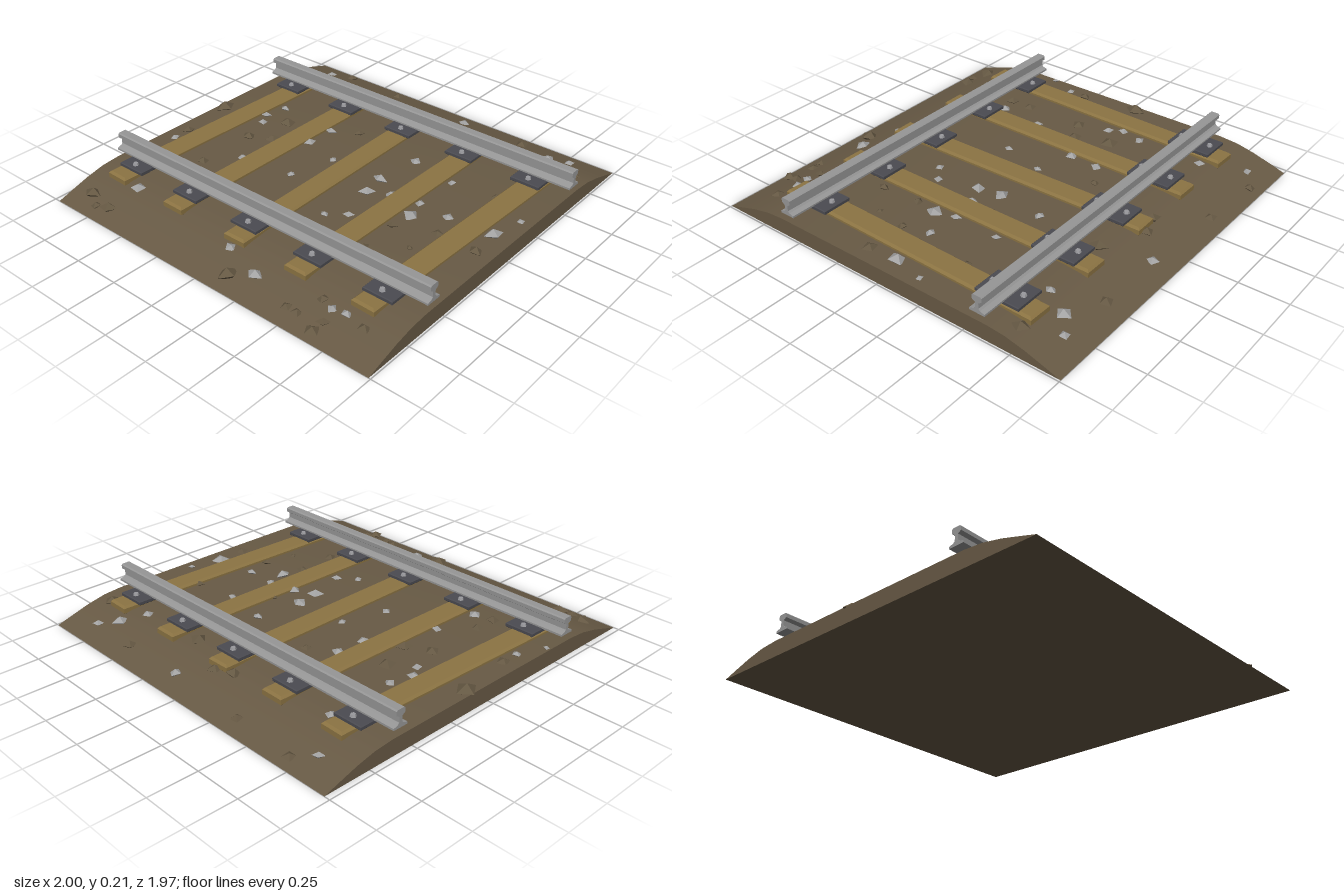
import * as THREE from 'three';
import { toCreasedNormals } from 'three/addons/utils/BufferGeometryUtils.js';

const mat = (name, color, flatShading = false) => {
  const m = new THREE.MeshStandardMaterial({ color, flatShading });
  m.name = name;
  return m;
};

const Z0 = -0.97, Z1 = 0.99;

// Half outline of the gravel bed, from the centre to the foot
const BED = [[0, 0.086], [0.62, 0.085], [0.72, 0.077], [0.82, 0.055], [0.91, 0.028], [1, 0]];

function bedHeight(x) {
  const a = Math.abs(x);
  for (let i = 1; i < BED.length; i++) {
    const [x0, y0] = BED[i - 1], [x1, y1] = BED[i];
    if (a <= x1) return y0 + (y1 - y0) * (a - x0) / (x1 - x0);
  }
  return 0;
}

// Mirrors a half outline (top to bottom) and extrudes it along the track
function trackExtrude(half) {
  const right = half.map(([x, y]) => new THREE.Vector2(x, y));
  const left = half.map(([x, y]) => new THREE.Vector2(-x, y)).reverse();
  const shape = new THREE.Shape([...right, ...left.filter(p => p.x !== 0)]);
  const g = new THREE.ExtrudeGeometry(shape, { depth: Z1 - Z0, bevelEnabled: false });
  g.translate(0, 0, Z0);
  return g;
}

// Chamfered block, centred on x and z, standing from y0 to y1
function block(w, d, y0, y1, b) {
  const x = w / 2 - b, z = d / 2 - b;
  const s = new THREE.Shape([[-x, -z], [x, -z], [x, z], [-x, z]].map(p => new THREE.Vector2(...p)));
  const g = new THREE.ExtrudeGeometry(s, { depth: y1 - y0 - 2 * b, bevelSize: b, bevelThickness: b, bevelSegments: 1 });
  g.rotateX(-Math.PI / 2);
  g.translate(0, y0 + b, 0);
  return g;
}

function seeded(seed) {
  return () => {
    seed = (seed * 16807) % 2147483647;
    return seed / 2147483647;
  };
}

// Stones: x, z, radius
const BROWN = [
  [-0.91, -0.70, 0.05], [-0.88, -0.85, 0.05], [-0.93, -0.77, 0.03], [0.11, -0.93, 0.06], [-0.2, -0.89, 0.035],
  [0.07, -0.77, 0.02], [0.94, -0.70, 0.035], [0.92, -0.34, 0.035], [-0.49, -0.6, 0.04], [-0.37, -0.6, 0.035],
  [-0.04, -0.6, 0.04], [0.2, -0.54, 0.05], [0.02, -0.48, 0.045], [0.36, -0.17, 0.03], [0.74, -0.1, 0.045],
  [0.77, 0, 0.04], [-0.91, 0.12, 0.055], [0.67, 0.25, 0.05], [0.12, 0.34, 0.025], [-0.91, 0.47, 0.03],
  [-0.91, 0.53, 0.03], [-0.8, 0.58, 0.03], [-0.95, 0.65, 0.04], [-0.89, 0.66, 0.035], [-0.21, 0.49, 0.03],
  [-0.43, 0.5, 0.035], [0.89, 0.51, 0.04], [-0.83, 0.83, 0.035], [-0.13, 0.9, 0.04], [0.73, 0.9, 0.045],
  [-0.13, 0.69, 0.03], [-0.3, 0.66, 0.02], [0.3, 0.73, 0.03],
];
const GREY = [
  [-0.3, -0.89, 0.025], [-0.45, -0.95, 0.02], [0.87, -0.8, 0.03], [-0.74, -0.67, 0.04], [0.12, -0.65, 0.03],
  [0.19, -0.69, 0.03], [0.31, -0.66, 0.03], [0.67, -0.66, 0.03], [-0.47, -0.5, 0.035], [-0.22, -0.47, 0.03],
  [0.12, -0.31, 0.035], [0.28, -0.3, 0.035], [-0.18, -0.17, 0.025], [0.06, -0.1, 0.025], [-0.79, 0.02, 0.03],
  [0.89, 0.14, 0.035], [-0.34, 0.19, 0.025], [-0.06, 0.22, 0.045], [0.07, 0.2, 0.045], [0.32, 0.23, 0.03],
  [-0.85, 0.23, 0.045], [-0.27, 0.28, 0.03], [-0.01, 0.33, 0.035], [-0.09, 0.51, 0.045], [0.02, 0.48, 0.03],
  [0.27, 0.49, 0.025], [0.81, 0.71, 0.045], [0.69, 0.64, 0.03], [-0.82, 0.65, 0.03], [-0.81, 0.72, 0.03],
  [0.01, 0.65, 0.03], [0.88, 0.8, 0.03], [0.03, 0.89, 0.05], [0.2, 0.93, 0.02], [-0.45, 0.76, 0.02],
];

export function createModel() {
  const track = new THREE.Group();
  track.name = 'railwayTrack';
  const earth = mat('earth', 0x685a45);
  const wood = mat('wood', 0x8c7443, true);
  const steel = mat('steel', 0x979797);
  const iron = mat('darkIron', 0x4b4b51);
  const bolt = mat('boltMetal', 0x9a9a9e, true);
  const brownStone = mat('brownStone', 0x655843, true);
  const greyStone = mat('greyStone', 0xa2a2a2, true);

  const add = (parent, name, geometry, material, x = 0, y = 0, z = 0) => {
    const m = new THREE.Mesh(geometry, material);
    m.name = name;
    m.position.set(x, y, z);
    parent.add(m);
    return m;
  };

  // Raised bed with sloping shoulders
  add(track, 'gravelBed', toCreasedNormals(trackExtrude(BED), 0.4), earth);

  // Rails with wide foot, thin web and rounded head
  const rail = toCreasedNormals(trackExtrude([
    [0.02, 0.213], [0.026, 0.207], [0.026, 0.188], [0.009, 0.177],
    [0.009, 0.149], [0.017, 0.14], [0.041, 0.133], [0.041, 0.123],
  ]), 0.3);
  for (const side of [-1, 1]) add(track, side > 0 ? 'leftRail' : 'rightRail', rail, steel, side * 0.574);

  // Sleepers, each slightly askew, with plates and bolts under the rails
  const beam = block(1.525, 0.125, 0.06, 0.107, 0.011);
  const plate = block(0.235, 0.16, 0.103, 0.125, 0.004);
  const boltHead = new THREE.CylinderGeometry(0.012, 0.016, 0.013, 6);
  const sleepers = [[-0.78, -0.03], [-0.39, -0.009], [0.003, 0.015], [0.393, -0.007], [0.785, -0.026]];
  sleepers.forEach(([z, turn], i) => {
    const g = new THREE.Group();
    g.name = 'sleeper' + (i + 1);
    g.position.z = z;
    track.add(g);
    add(g, 'beam', beam, wood, -0.002).rotation.y = turn;
    for (const side of [-1, 1]) {
      add(g, 'railPlate', plate, iron, side * 0.574);
      for (const dx of [-0.083, 0.083]) add(g, 'bolt', boltHead, bolt, side * 0.574 + dx, 0.131);
    }
  });

  // Loose angular stones, half sunk into the bed
  const rand = seeded(4711);
  const scatter = (name, list, material) => {
    const group = new THREE.Group();
    group.name = name;
    track.add(group);
    for (const [x, z, r] of list) {
      const g = new THREE.OctahedronGeometry(r);
      g.scale(1, 0.55, 0.75 + 0.25 * rand());
      g.rotateX((rand() - 0.5) * 0.6);
      g.rotateY(rand() * Math.PI);
      add(group, 'stone', g, material, x, Math.max(bedHeight(x) + 0.003, r * 0.6), z);
    }
  };
  scatter('brownStones', BROWN, brownStone);
  scatter('greyStones', GREY, greyStone);
  return track;
}
